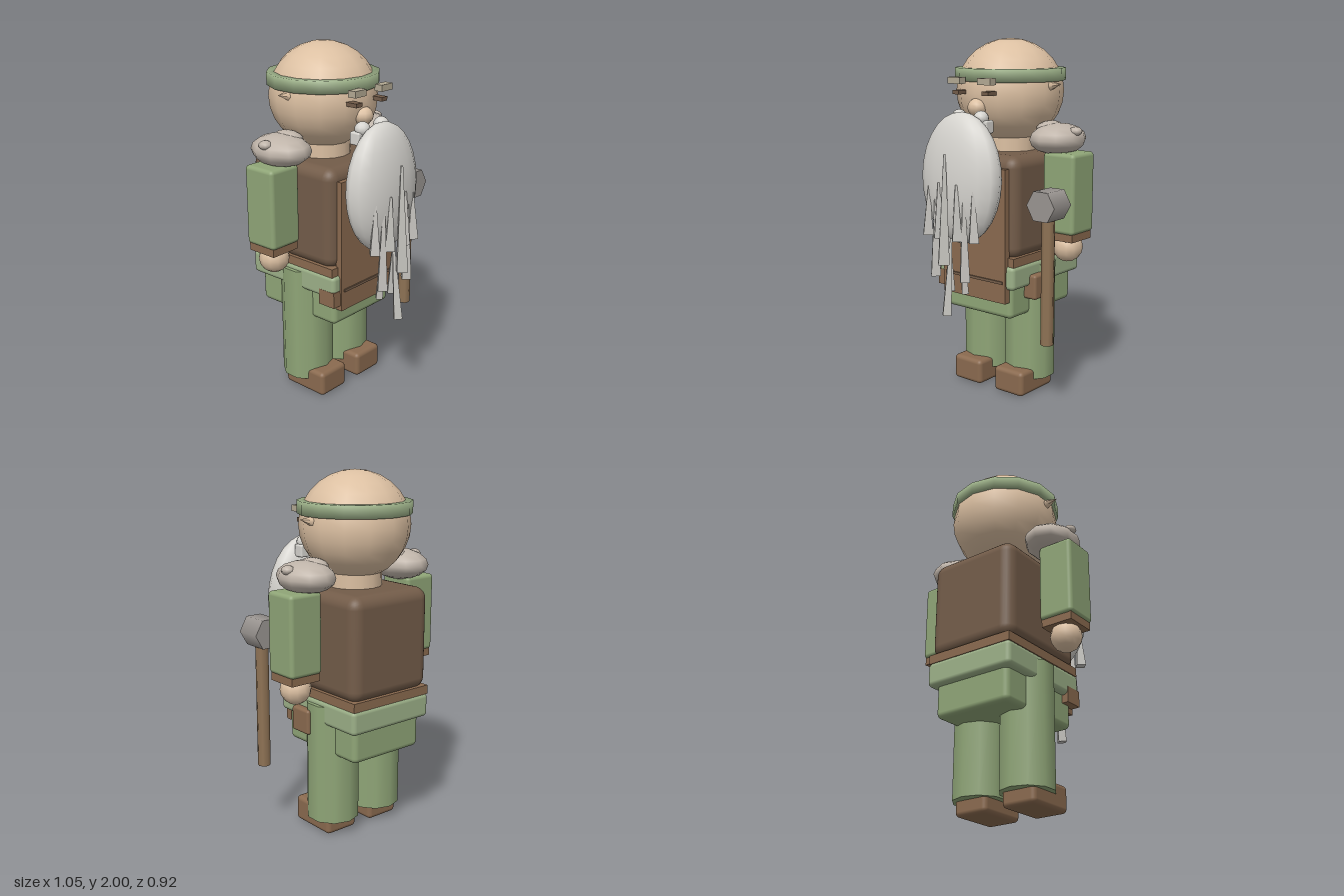
import * as THREE from 'three';
import { RoundedBoxGeometry } from 'three/addons/geometries/RoundedBoxGeometry.js';

const mat = (color, flatShading = false) => new THREE.MeshStandardMaterial({ color, flatShading });
const skin = mat(0xdcc0a2), green = mat(0x8fa577), paleGreen = mat(0x9cb088);
const darkBrown = mat(0x735c49), brown = mat(0x8a6a4f), wood = mat(0x8f7355);
const hair = mat(0xd6d4cf), strandHair = mat(0xc4c2bd, true), fur = mat(0xc0b5aa), steel = mat(0x9a9591);
const browHair = mat(0xb3a993);

const CX = -0.015, CZ = -0.145; // body axis

export function createModel() {
  const model = new THREE.Group();
  model.name = 'dwarf';

  const add = (name, geometry, material, x = 0, y = 0, z = 0) => {
    const mesh = new THREE.Mesh(geometry, material);
    mesh.name = name;
    mesh.position.set(x, y, z);
    model.add(mesh);
    return mesh;
  };
  // Box given by its limits on each axis, with optional rounded edges
  const box = (name, material, [x0, x1], [y0, y1], [z0, z1], r = 0) => {
    const size = [x1 - x0, y1 - y0, z1 - z0];
    const g = r ? new RoundedBoxGeometry(...size, 3, r) : new THREE.BoxGeometry(...size);
    return add(name, g, material, (x0 + x1) / 2, (y0 + y1) / 2, (z0 + z1) / 2);
  };
  const ball = (name, material, x, y, z, rx, ry = rx, rz = rx, seg = 12, rows = 8) => {
    const g = new THREE.SphereGeometry(1, seg, rows);
    g.rotateY(Math.PI / 2).scale(rx, ry, rz);
    return add(name, g, material, x, y, z);
  };

  // Head, neck and headband
  ball('head', skin, CX, 1.71, CZ, 0.3, 0.29, 0.305, 14, 14);
  add('neck', new THREE.CylinderGeometry(0.15, 0.15, 0.18, 14), skin, CX, 1.44, CZ);
  const ring = [[0.25, 1.77], [0.31, 1.77], [0.31, 1.84], [0.25, 1.84], [0.25, 1.77]];
  add('headband', new THREE.LatheGeometry(ring.map(p => new THREE.Vector2(...p)), 14), paleGreen, CX, 0, CZ);
  ball('nose', skin, CX, 1.635, 0.14, 0.055, 0.05, 0.055, 10);

  // Torso, belt and skirt
  box('torso', darkBrown, [-0.285, 0.252], [0.82, 1.385], [-0.455, 0.15], 0.065);
  box('tunicHem', brown, [-0.283, 0.25], [0.785, 0.835], [-0.455, 0.155]);
  box('belt', paleGreen, [-0.287, 0.257], [0.655, 0.79], [-0.46, 0.168], 0.025);
  box('skirt', green, [-0.25, 0.22], [0.48, 0.68], [-0.425, 0.14], 0.03);
  box('apron', brown, [-0.235, 0.21], [0.58, 1.32], [0.14, 0.18]);
  box('apronSeam', darkBrown, [-0.215, 0.195], [0.69, 0.705], [0.175, 0.188]);
  box('beltPouch', brown, [0.2, 0.297], [0.58, 0.72], [-0.125, 0.02], 0.015);
  box('sidePouch', brown, [-0.288, -0.22], [0.61, 0.7], [0.06, 0.17]);

  // Paired parts, s = side
  for (const s of [-1, 1]) {
    const X = d => CX + s * d;
    const span = (a, b) => [Math.min(X(a), X(b)), Math.max(X(a), X(b))];

    add('leg', new THREE.CylinderGeometry(0.148, 0.148, 0.675, 10), green, X(0.153), 0.4225, CZ);
    box('boot', brown, span(0.05, 0.255), [0.005, 0.15], [-0.23, 0.065], 0.025);

    box('sleeve', green, span(0.305, 0.508), [0.96, 1.4], [-0.247, -0.043], 0.022);
    box('cuff', brown, span(0.315, 0.498), [0.92, 0.965], [-0.235, -0.055]);
    ball('hand', skin, X(0.407), 0.875, CZ, 0.085);

    // Fur shoulder pads with tufts
    ball('shoulderFur', fur, X(0.333), 1.465, CZ, 0.147, 0.086, 0.178, 10, 8);
    ball('furTuft', fur, X(0.275), 1.52, CZ, 0.065, 0.04, 0.09, 10).rotation.z = s * 0.2;
    ball('furKnob', fur, X(0.447), 1.512, CZ, 0.037, 0.025, 0.037, 8);

    const ear = add('ear', new THREE.ConeGeometry(0.043, 0.12, 6), skin, X(0.3), 1.75, CZ + 0.01);
    ear.rotation.set(0.2, 0, -s * 1.4);

    // Face details
    box('eye', darkBrown, span(0.08, 0.125), [1.703, 1.725], [0.1, 0.2]);
    box('eyebrow', browHair, span(0.062, 0.15), [1.76, 1.795], [0.165, 0.213]);
    ball('moustache', hair, X(0.077), 1.585, 0.2, 0.043, 0.04, 0.043, 10);
    box('moustacheEnd', hair, span(0.07, 0.13), [1.505, 1.575], [0.155, 0.22], 0.01);
  }

  // Beard: one large ellipsoid with hanging locks
  ball('beard', hair, CX, 1.265, 0.275, 0.265, 0.355, 0.117, 16, 14).rotation.x = -0.03;

  // Each lock: offset from the middle, top y, bottom y, top z, bottom z
  const lock = (d, y0, y1, z0, z1, r) => {
    const top = new THREE.Vector3(CX + d * 0.95, y0, z0), end = new THREE.Vector3(CX + d, y1, z1);
    const axis = top.clone().sub(end);
    const mesh = add('beardLock', new THREE.CylinderGeometry(0.008, r, axis.length(), 4), strandHair);
    mesh.position.copy(top).add(end).multiplyScalar(0.5);
    mesh.quaternion.setFromUnitVectors(THREE.Object3D.DEFAULT_UP, axis.normalize());
  };
  lock(0, 1.41, 0.82, 0.405, 0.42, 0.042);
  lock(0, 0.95, 0.53, 0.36, 0.4, 0.033);
  for (const s of [-1, 1]) {
    lock(s * 0.165, 1.22, 0.95, 0.36, 0.365, 0.037);
    lock(s * 0.105, 1.2, 0.73, 0.37, 0.37, 0.037);
    lock(s * 0.065, 1.25, 0.95, 0.385, 0.385, 0.037);
    lock(s * 0.05, 1.0, 0.64, 0.33, 0.305, 0.026);
  }

  // Hammer standing by the left hand
  add('hammerHandle', new THREE.CylinderGeometry(0.036, 0.036, 0.72, 8), wood, 0.435, 0.74, 0.097);
  const headGeo = new THREE.CylinderGeometry(0.09, 0.09, 0.15, 6);
  headGeo.rotateY(Math.PI / 6).rotateX(Math.PI / 2);
  add('hammerHead', headGeo, steel, 0.435, 1.147, 0.095);

  return model;
}
